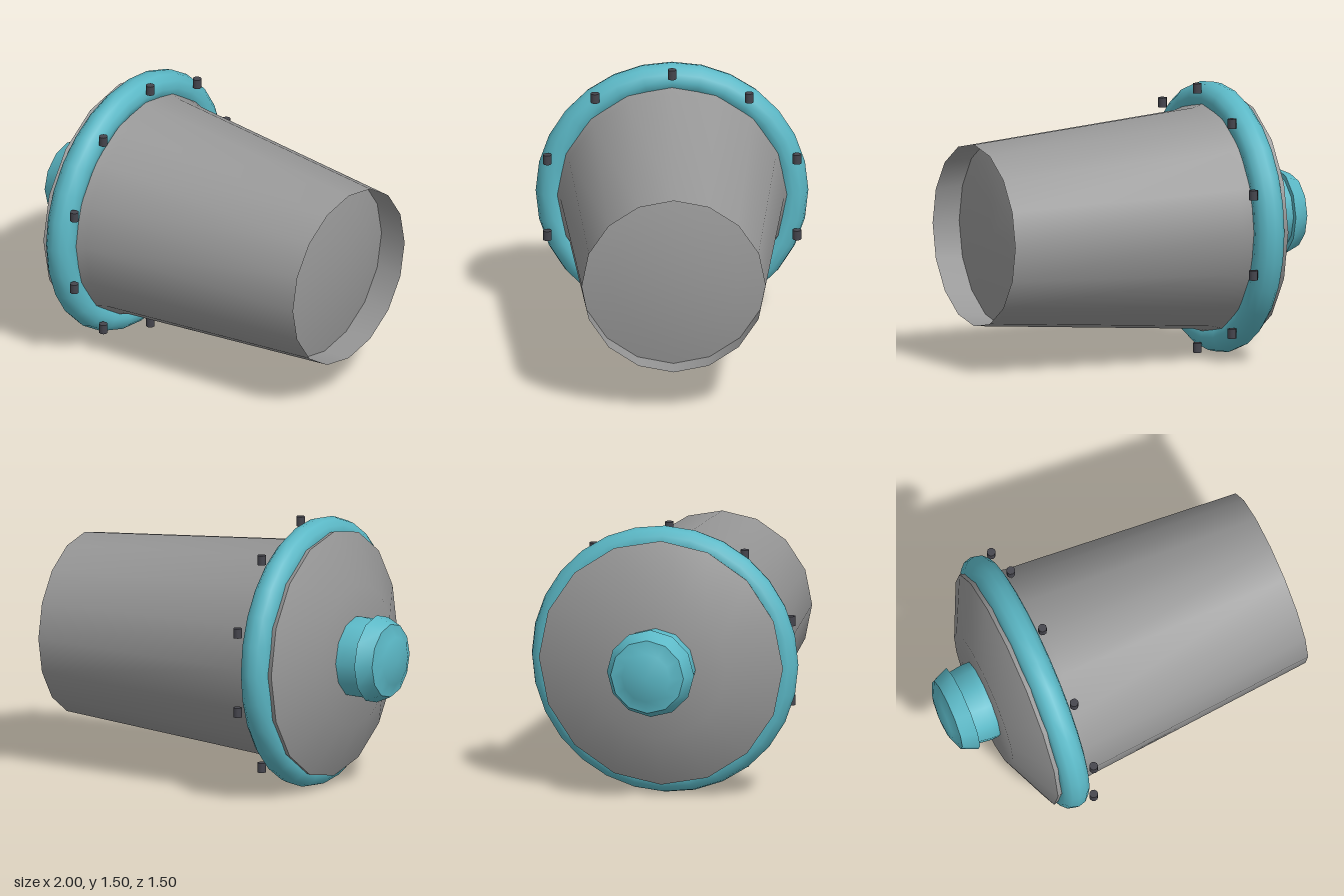
import * as THREE from 'three';
import { toCreasedNormals } from 'three/addons/utils/BufferGeometryUtils.js';

const AXIS_Y = 0.75; // height of the horizontal main axis

// Revolve [x, radius] points around the x axis
function turned(points, sides) {
  const g = new THREE.LatheGeometry(points.map(([x, r]) => new THREE.Vector2(r, x)), sides);
  g.rotateZ(-Math.PI / 2);
  return toCreasedNormals(g, 0.6);
}

export function createModel() {
  const grey = new THREE.MeshStandardMaterial({ color: 0x989898, side: THREE.DoubleSide });
  grey.name = 'grey';
  const teal = new THREE.MeshStandardMaterial({ color: 0x5bb8c6 });
  teal.name = 'teal';
  const dark = new THREE.MeshStandardMaterial({ color: 0x45454d });
  dark.name = 'charcoal';

  const group = new THREE.Group();
  const add = (name, geometry, material, x = 0, y = AXIS_Y, z = 0) => {
    const mesh = new THREE.Mesh(geometry, material);
    mesh.name = name;
    mesh.position.set(x, y, z);
    group.add(mesh);
  };

  // Tapered barrel with a bevelled back, open at the narrow end
  add('body', turned([[-0.73, 0], [-0.73, 0.395], [-0.59, 0.687], [-0.35, 0.615], [1, 0.505]], 16), grey);

  // Slightly domed floor set inside the open end
  add('recessedFloor', turned([[0.83, 0.518], [0.86, 0.36], [0.878, 0.18], [0.885, 0]], 16), grey);

  // Collar ring
  const ring = new THREE.TorusGeometry(0.665, 0.085, 12, 28);
  ring.rotateY(Math.PI / 2);
  add('collarRing', ring, teal, -0.482);

  // Stepped knob on the back
  add('knob', turned([
    [-1, 0], [-0.98, 0.135], [-0.95, 0.2], [-0.95, 0.205], [-0.86, 0.245],
    [-0.86, 0.215], [-0.77, 0.227], [-0.73, 0.225],
  ], 12), teal);

  // Ten upright studs around the collar
  const stud = new THREE.CylinderGeometry(0.024, 0.024, 0.054, 10);
  for (let i = 0; i < 10; i++) {
    const a = (i / 10) * Math.PI * 2;
    add('stud', stud, dark, -0.375, AXIS_Y + 0.722 * Math.cos(a), 0.722 * Math.sin(a));
  }
  return group;
}
